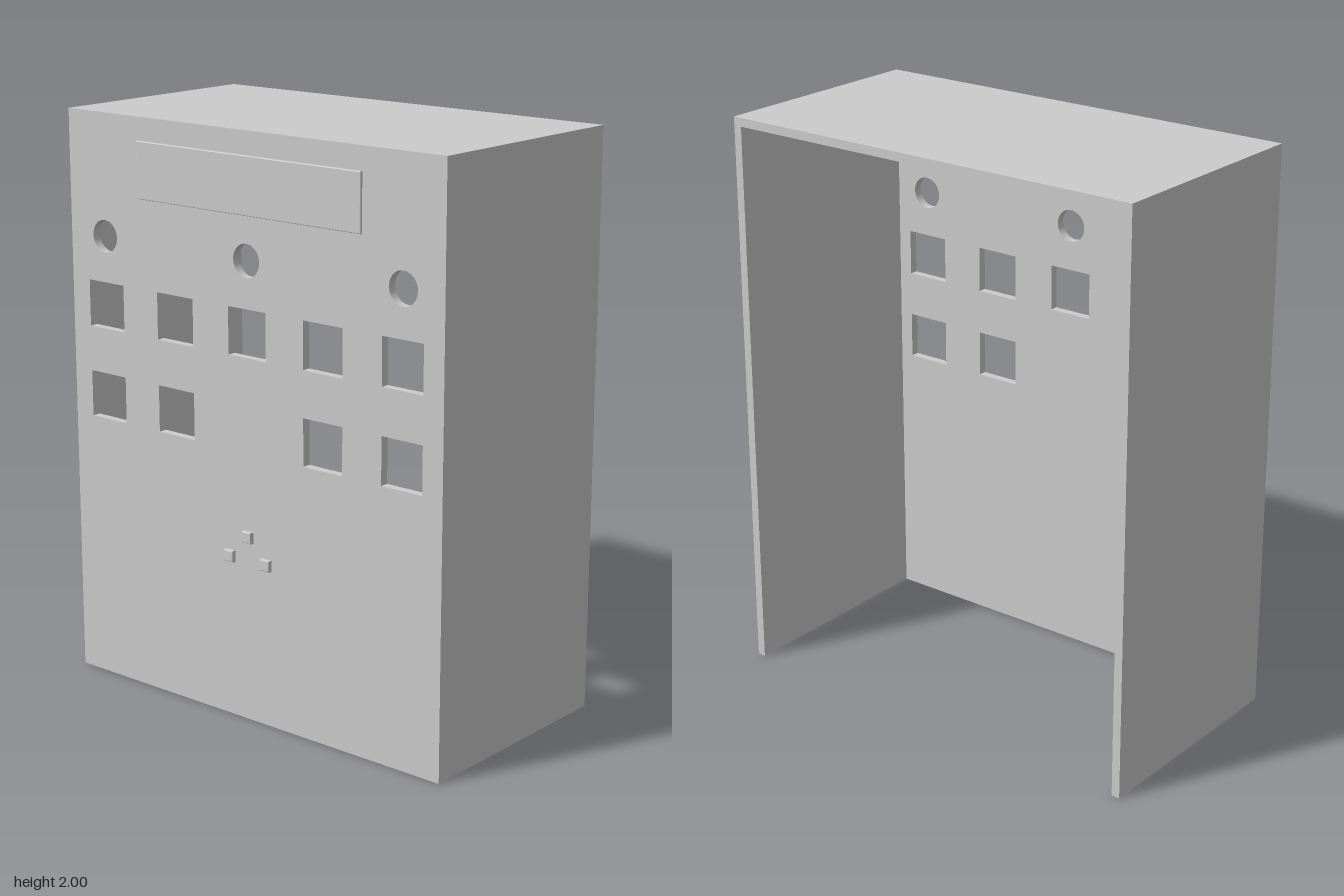
import * as THREE from 'three';

const W = 1.6, H = 2, T = 0.03;      // width, height, wall thickness
const BACK = -0.42, FRONT = 0.405;   // shell depth limits

const material = new THREE.MeshStandardMaterial({ color: 0xcccccc, flatShading: true });

function addMesh(parent, name, geometry, x = 0, y = 0, z = 0) {
  const mesh = new THREE.Mesh(geometry, material);
  mesh.name = name;
  mesh.position.set(x, y, z);
  parent.add(mesh);
}

function polygon(points, Type = THREE.Shape) {
  return new Type(points.map(([x, y]) => new THREE.Vector2(x, y)));
}

function rectangle(x, y, w, h, Type) {
  const a = w / 2, b = h / 2;
  return polygon([[x - a, y - b], [x + a, y - b], [x + a, y + b], [x - a, y + b]], Type);
}

function extrude(shape, depth) {
  return new THREE.ExtrudeGeometry(shape, { depth, bevelEnabled: false, curveSegments: 32 });
}

// Raised block with slightly chamfered front edges, base sunk into the panel
function raisedBlock(w, h, height, bevel) {
  const sunk = 0.01;
  const geometry = new THREE.ExtrudeGeometry(rectangle(0, 0, w, h), {
    depth: sunk + height - 2 * bevel, bevelThickness: bevel, bevelSize: bevel,
    bevelOffset: -bevel, bevelSegments: 2,
  });
  return geometry.translate(0, 0, bevel - sunk);
}

export function createModel() {
  const model = new THREE.Group();
  model.name = 'controlBox';

  // Front panel with round and square openings
  const panel = rectangle(0, H / 2, W, H);
  for (const x of [-0.64, 0, 0.64]) {
    panel.holes.push(new THREE.Path().absarc(x, 1.58, 0.056, 0, Math.PI * 2, true));
  }
  for (const y of [1.34, 1.02]) {
    for (const x of [-0.64, -0.32, 0, 0.32, 0.64]) {
      if (x === 0 && y === 1.02) continue;
      panel.holes.push(rectangle(x, y, 0.162, 0.162, THREE.Path));
    }
  }
  addMesh(model, 'frontPanel', extrude(panel, T), 0, 0, FRONT - T);

  // Side walls and top in one piece, open at the back and bottom
  const a = W / 2, b = a - T;
  const walls = polygon([[-a, 0], [-b, 0], [-b, H - T], [b, H - T], [b, 0], [a, 0], [a, H], [-a, H]]);
  addMesh(model, 'sideWallsAndTop', extrude(walls, FRONT - T - BACK), 0, 0, BACK);

  // Raised display plate
  addMesh(model, 'displayPlate', raisedBlock(0.956, 0.194, 0.008, 0.003), 0, 1.824, FRONT);

  // Three small buttons in a triangle
  for (const [x, y] of [[0, 0.65], [-0.08, 0.57], [0.08, 0.57]]) {
    addMesh(model, 'button', raisedBlock(0.04, 0.04, 0.015, 0.004), x, y, FRONT);
  }

  return model;
}
